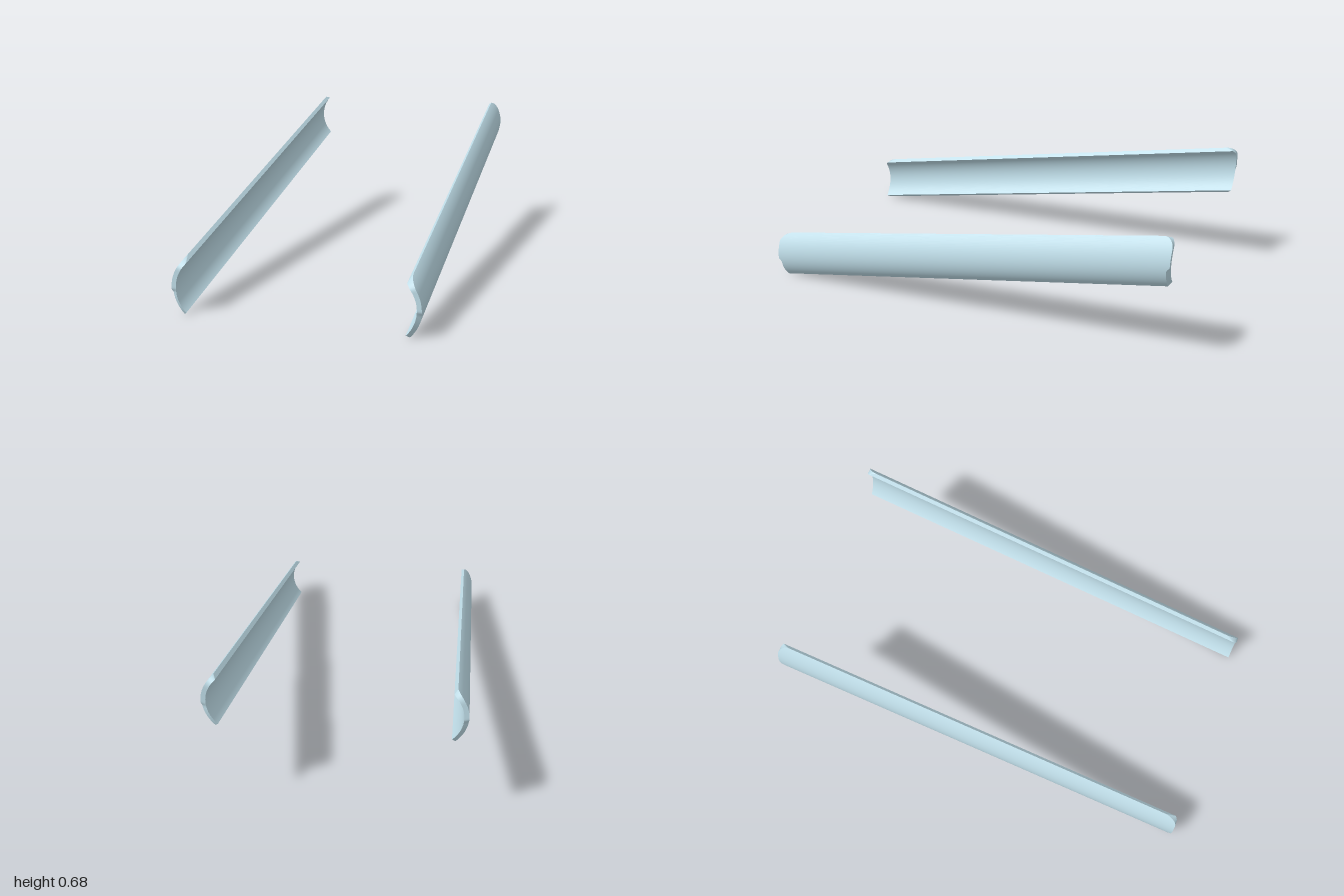
import * as THREE from 'three';
import { mergeGeometries } from 'three/addons/utils/BufferGeometryUtils.js';

const ROWS = 48, HALF_ANGLE = 0.793, CENTRE_X = 0.373, R_OUT = 0.167, R_IN = 0.147;
const MID = 0.119, HEIGHT = 0.238, SLOPE = 0.23, LIFT = 0.2275;

// Where an end stops at height h: rounded upper corner, bevelled outer lower half
function endZ(h, corner, length, outer) {
  const t = THREE.MathUtils.clamp((h - corner) / (HEIGHT - corner), 0, 1);
  const bevel = outer ? 0.014 * (1 - THREE.MathUtils.smoothstep(h, 0.095, 0.115)) : 0;
  return 1 - length * (1 - Math.sqrt(1 - t * t)) - bevel;
}

// One edge of the channel: an arc of points at its front or back end
function edge(radius, front) {
  const points = [];
  for (let i = 0; i <= ROWS; i++) {
    const a = HALF_ANGLE * Math.sin((i / ROWS - 0.5) * Math.PI);
    const h = MID + radius * Math.sin(a);
    const outer = radius === R_OUT;
    const z = front ? endZ(h, 0.2, 0.07, outer) : -endZ(h, 0.19, 0.05, outer);
    points.push(new THREE.Vector3(CENTRE_X + radius * Math.cos(a), h + LIFT - SLOPE * z, z));
  }
  return points;
}

// Surface strip between two rows of points, mirrored when side is -1
function ribbon(a, b, side) {
  const pos = [], index = [];
  a.forEach((p, i) => {
    pos.push(side * p.x, p.y, p.z, side * b[i].x, b[i].y, b[i].z);
    if (i === a.length - 1) return;
    const k = 2 * i;
    if (side > 0) index.push(k, k + 1, k + 2, k + 1, k + 3, k + 2);
    else index.push(k, k + 2, k + 1, k + 1, k + 2, k + 3);
  });
  const g = new THREE.BufferGeometry();
  g.setAttribute('position', new THREE.Float32BufferAttribute(pos, 3));
  g.setIndex(index);
  g.computeVertexNormals();
  return g;
}

function railGeometry(side) {
  const oF = edge(R_OUT, true), oB = edge(R_OUT, false);
  const iF = edge(R_IN, true), iB = edge(R_IN, false);
  const n = ROWS;
  return mergeGeometries([
    ribbon(oF, oB, side),                             // outer curve
    ribbon(iB, iF, side),                             // inner hollow
    ribbon(iF, oF, side),                             // front end
    ribbon(oB, iB, side),                             // back end
    ribbon([iB[n], oB[n]], [iF[n], oF[n]], side),     // top lip
    ribbon([iF[0], oF[0]], [iB[0], oB[0]], side),     // bottom lip
  ]);
}

export function createModel() {
  const group = new THREE.Group();
  group.name = 'slopingRails';
  const material = new THREE.MeshStandardMaterial({ color: 0xbfdde8 });
  for (const side of [1, -1]) {
    const rail = new THREE.Mesh(railGeometry(side), material);
    rail.name = side > 0 ? 'leftRail' : 'rightRail';
    group.add(rail);
  }
  return group;
}
